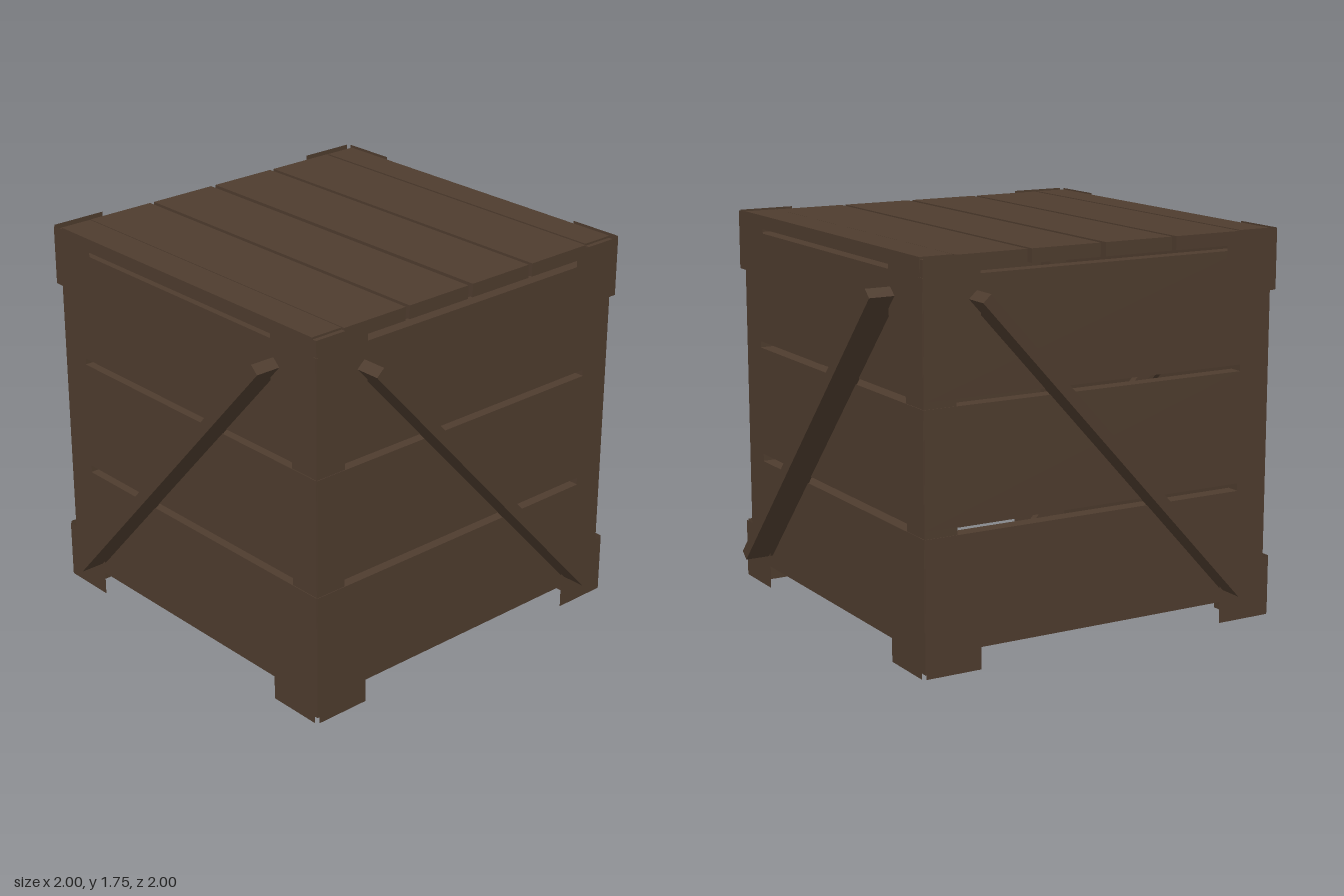
import * as THREE from 'three';

export function createModel() {
  const crate = new THREE.Group();
  crate.name = 'crate';
  const wood = new THREE.MeshStandardMaterial({ color: 0x4e3c2e });
  wood.name = 'dark brown wood';
  // Corner plates are paper-thin, so both sides show
  const plate = new THREE.MeshStandardMaterial({ color: 0x4e3c2e, side: THREE.DoubleSide });
  plate.name = 'dark brown plate';

  // Box given by its minimum and maximum corners
  function box(parent, name, [x0, y0, z0], [x1, y1, z1]) {
    const mesh = new THREE.Mesh(new THREE.BoxGeometry(x1 - x0, y1 - y0, z1 - z0), wood);
    mesh.position.set((x0 + x1) / 2, (y0 + y1) / 2, (z0 + z1) / 2);
    mesh.name = name;
    parent.add(mesh);
    return mesh;
  }

  // Diagonal bar across a wall; side = 1 rises towards +x, -1 towards -x
  function brace(parent, name, side, z0, z1) {
    const mesh = box(parent, name, [-0.959, 0.851, z0], [0.959, 0.901, z1]);
    mesh.rotation.z = side * Math.atan2(1.4175, 1.2925);
  }

  // One wall facing +z: planks, crossed braces and corner plates
  function wall(name, side) {
    const group = new THREE.Group();
    group.name = name;
    const x0 = side > 0 ? -0.71 : -0.862;
    const x1 = side > 0 ? 0.862 : 0.71;
    for (const [y0, y1] of [[0.09, 0.59], [0.625, 1.13], [1.16, 1.665]]) {
      box(group, 'wallPlank', [x0, y0, 0.8], [x1, y1, 0.865]);
    }
    brace(group, 'outerBrace', side, 0.86, 1.0);
    brace(group, 'innerBrace', -side, 0.77, 0.802);
    for (const x of [-0.741, 0.741]) {
      for (const y of [0.135, 1.615]) {
        const mesh = new THREE.Mesh(new THREE.PlaneGeometry(0.262, 0.27), plate);
        mesh.position.set(x, y, 0.885);
        mesh.name = 'cornerPlate';
        group.add(mesh);
      }
    }
    return group;
  }

  // Four walls, neighbouring ones mirrored
  ['frontWall', 'leftWall', 'backWall', 'rightWall'].forEach((name, i) => {
    const w = wall(name, i % 2 ? -1 : 1);
    w.rotation.y = i * Math.PI / 2;
    crate.add(w);
  });

  // Corner posts
  for (const x of [-0.786, 0.786]) {
    for (const z of [-0.786, 0.786]) {
      box(crate, 'cornerPost', [x - 0.076, 0.01, z - 0.076], [x + 0.076, 1.738, z + 0.076]);
    }
  }

  // Lid: four wide planks between two narrow edge planks
  for (const z of [-0.536, -0.18, 0.18, 0.536]) {
    box(crate, 'lidPlank', [-0.848, 1.685, z - 0.167], [0.848, 1.745, z + 0.167]);
  }
  for (const z of [-0.788, 0.788]) {
    box(crate, 'lidEdgePlank', [-0.84, 1.685, z - 0.077], [0.84, 1.747, z + 0.077]);
  }

  return crate;
}
